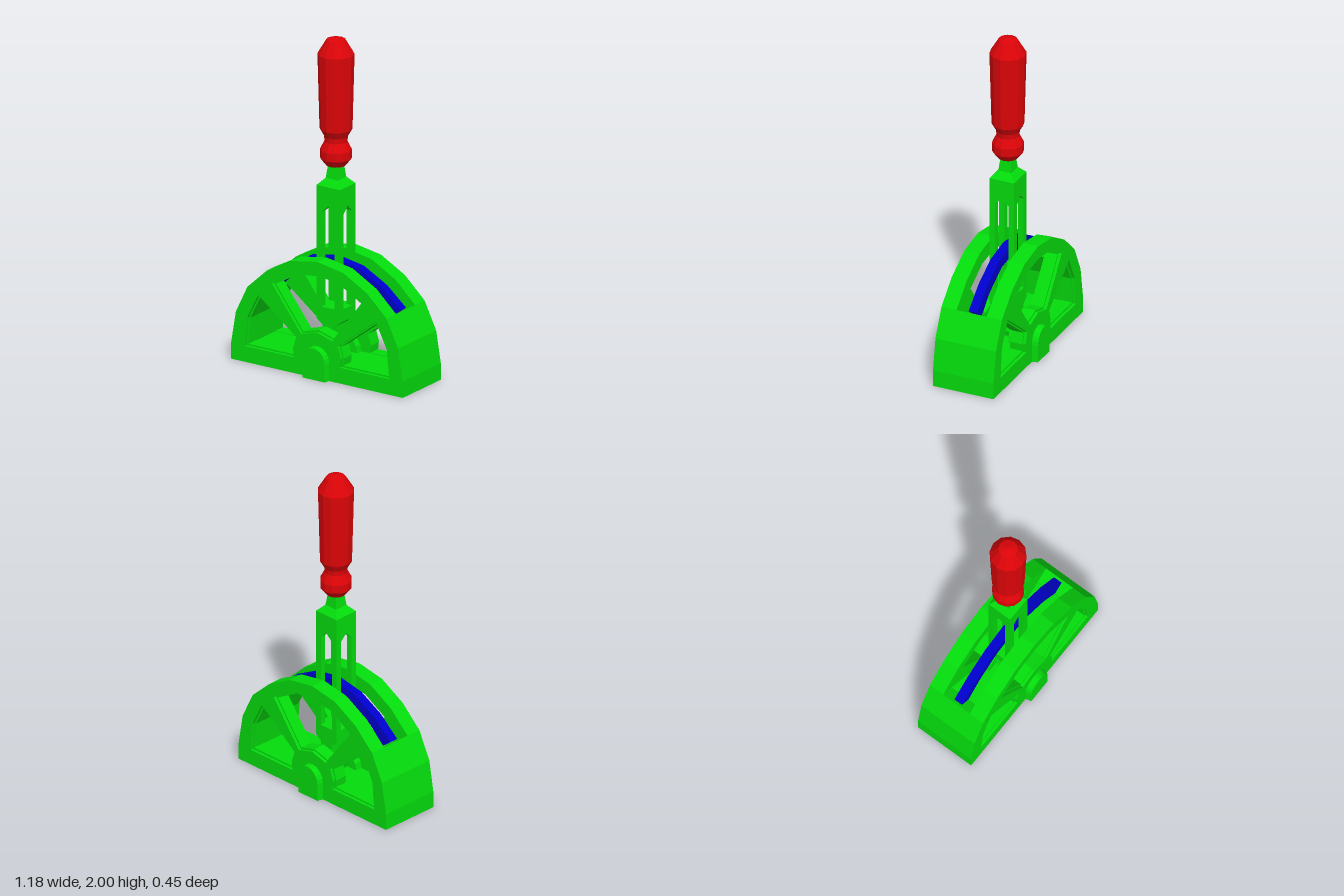
import * as THREE from 'three';

const paint = (color) => new THREE.MeshStandardMaterial({ color, flatShading: true });
const green = paint(0x04dc0c), red = paint(0xdc0408), blue = paint(0x0000cc);

const vectors = (points) => points.map(([x, y]) => new THREE.Vector2(x, y));
// Completes a right-hand chain (ending on x = 0) with its mirror image.
const mirrored = (half) => [...half, ...half.slice(0, -1).reverse().map(([x, y]) => [-x, y])];
const flip = (points) => points.map(([x, y]) => [-x, y]).reverse();

// Offsets a counter-clockwise polygon outward by d.
function grow(points, d) {
  const v = vectors(points), n = v.length;
  return v.map((p, i) => {
    const a = p.clone().sub(v[(i + n - 1) % n]).normalize();
    const b = v[(i + 1) % n].clone().sub(p).normalize();
    const k = d / (1 + a.dot(b));
    return [p.x + (a.y + b.y) * k, p.y - (a.x + b.x) * k];
  });
}

function add(parent, name, geometry, material = green, x = 0, y = 0, z = 0) {
  const mesh = new THREE.Mesh(geometry, material);
  mesh.name = name;
  mesh.position.set(x, y, z);
  parent.add(mesh);
  return mesh;
}

// Extrudes an outline from z0 to z1.
function slab(points, z0, z1, holes = []) {
  const shape = new THREE.Shape(vectors(points));
  shape.holes = holes.map((hole) => new THREE.Path(vectors(hole)));
  return new THREE.ExtrudeGeometry(shape, { depth: z1 - z0, bevelEnabled: false }).translate(0, 0, z0);
}

// Four-sided frustum with half widths a (bottom) and b (top), slightly wider in x than in z.
function frustum(a, b, y0, y1) {
  return new THREE.CylinderGeometry(b * Math.SQRT2, a * Math.SQRT2, y1 - y0, 4)
    .rotateY(Math.PI / 4).translate(0, (y0 + y1) / 2, 0);
}

function arch(r, springY, baseY, steps) {
  const points = [[r, baseY]];
  for (let i = 0; i <= steps; i++) {
    const a = (i / steps) * Math.PI;
    points.push([r * Math.cos(a), springY + r * Math.sin(a)]);
  }
  points.push([-r, baseY]);
  return points;
}

function makeHousing() {
  const housing = new THREE.Group();
  housing.name = 'housing';
  const outline = mirrored([[0.592, 0], [0.592, 0.1], [0.56, 0.29], [0.48, 0.455],
    [0.345, 0.58], [0.18, 0.67], [0, 0.7]]);
  const sideWindow = [[0.17, 0.105], [0.487, 0.105], [0.472, 0.265], [0.402, 0.405],
    [0.155, 0.215], [0.175, 0.15]];
  const topWindow = [...mirrored([[0.295, 0.505], [0.14, 0.592], [0, 0.607]]),
    [-0.105, 0.255], [0, 0.285], [0.105, 0.255]];
  const windows = [sideWindow, flip(sideWindow), topWindow];

  // Side plates with spokes and stepped windows, outer pivot covers and inner pivot cheeks
  for (const turn of [0, Math.PI]) {
    const side = new THREE.Group();
    side.name = turn ? 'backSide' : 'frontSide';
    side.rotation.y = turn;
    add(side, 'spokedPlate', slab(outline, 0.095, 0.172, windows));
    add(side, 'plateFace', slab(outline, 0.172, 0.19, windows.map((w) => grow(w, 0.01))));
    const cover = slab(arch(0.087, 0.11, 0, 10), 0.18, 0.225);
    const p = cover.attributes.position;
    for (let i = 0; i < p.count; i++) {
      if (p.getZ(i) > 0.2) {
        p.setX(i, p.getX(i) * 0.88);
        if (p.getY(i) > 0.01) p.setY(i, p.getY(i) - 0.008);
      }
    }
    cover.computeVertexNormals();
    add(side, 'pivotCover', cover);
    add(side, 'pivotCheek', slab(arch(0.11, 0.1, 0.06, 8), 0.052, 0.1));
    housing.add(side);
  }

  // End walls below the open slot
  const end = [[0.592, 0], [0.592, 0.1], [0.56, 0.29], [0.48, 0.455],
    [0.402, 0.405], [0.472, 0.265], [0.487, 0.105], [0.487, 0]];
  add(housing, 'leftEndWall', slab(end, -0.172, 0.172));
  add(housing, 'rightEndWall', slab(flip(end), -0.172, 0.172));

  // Floor with shallow ribs underneath
  add(housing, 'floor', new THREE.BoxGeometry(1.0, 0.09, 0.2), green, 0, 0.057, 0);
  for (const x of [-0.09, 0, 0.09]) {
    add(housing, 'floorRib', new THREE.BoxGeometry(0.02, 0.02, 0.1), green, x, 0.011, 0);
  }
  return housing;
}

function makeLever() {
  const lever = new THREE.Group();
  lever.name = 'lever';
  const half = 0.079, slot = 0.043, wide = half - slot, mid = (half + slot) / 2;

  // Pivot axle and arm base, narrowing sideways towards the pivot
  add(lever, 'axle', new THREE.CylinderGeometry(0.05, 0.05, 0.2, 12).rotateX(Math.PI / 2), green, 0, 0.14, 0);
  const base = [[0.04, 0.1], [0.04, 0.285], [half, 0.315], [half, 0.39]];
  add(lever, 'armBase', slab([...base, ...flip(base)], -half, half));

  // Corner posts; their heads close inward to form pointed slot tops
  for (const sx of [-1, 1]) {
    for (const sz of [-1, 1]) {
      add(lever, 'armPost', new THREE.BoxGeometry(wide, 0.57, wide), green, sx * mid, 0.675, sz * mid);
      const head = new THREE.BoxGeometry(wide, 0.04, wide).translate(sx * mid, 0.98, sz * mid);
      const p = head.attributes.position;
      for (let i = 0; i < p.count; i++) {
        if (p.getY(i) < 0.98) continue;
        if (Math.abs(p.getX(i)) < mid) p.setX(i, 0);
        if (Math.abs(p.getZ(i)) < mid) p.setZ(i, 0);
      }
      head.computeVertexNormals();
      add(lever, 'armPostHead', head);
    }
  }
  add(lever, 'armTop', frustum(half, half, 1.0, 1.115));
  add(lever, 'armShoulder', frustum(half, 0.042, 1.115, 1.155));
  add(lever, 'armNeck', frustum(0.042, 0.03, 1.155, 1.25));
  lever.scale.set(1.03, 1, 0.98);
  return lever;
}

function makeGrip() {
  // Faceted grip
  const profile = [[0, 1.232], [0.058, 1.232], [0.092, 1.275], [0.092, 1.325], [0.066, 1.375],
    [0.068, 1.405], [0.094, 1.45], [0.106, 1.9], [0.055, 1.985], [0, 2]];
  return new THREE.LatheGeometry(vectors(profile), 12);
}

export function createModel() {
  const model = new THREE.Group();
  model.name = 'leverUnit';
  model.add(makeHousing(), makeLever());
  add(model, 'grip', makeGrip(), red);

  // Curved guide band running through the arm slot
  const outer = mirrored([[0.465, 0.455], [0.335, 0.565], [0.175, 0.65], [0, 0.68]]);
  const inner = mirrored([[0.405, 0.41], [0.3, 0.508], [0.14, 0.595], [0, 0.61]]);
  add(model, 'guideBand', slab([...outer, ...inner.reverse()], -0.027, 0.027), blue);
  return model;
}
